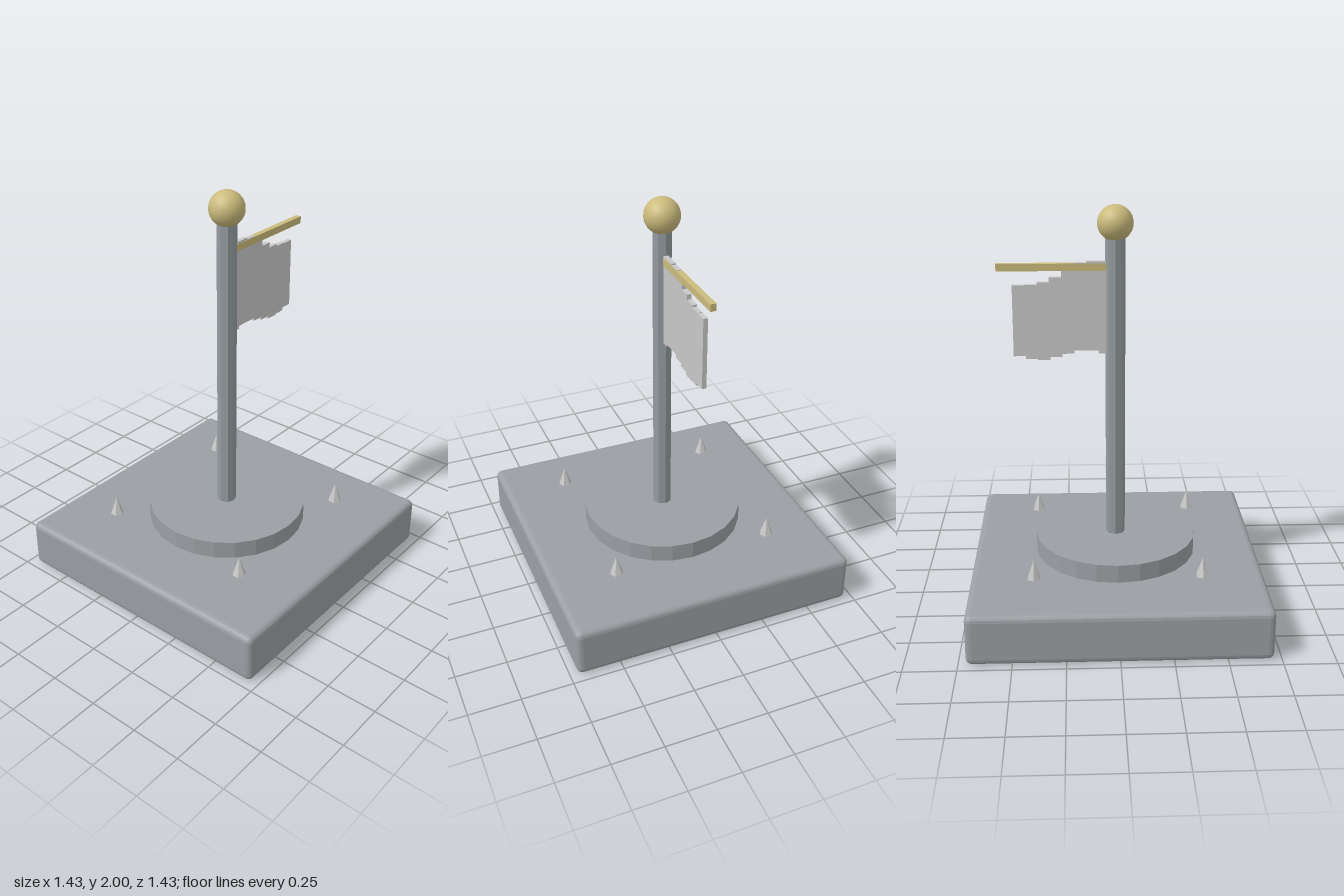
import * as THREE from 'three';
import { RoundedBoxGeometry } from 'three/addons/geometries/RoundedBoxGeometry.js';

const material = (name, color, flatShading = false) => {
  const m = new THREE.MeshStandardMaterial({ color, flatShading });
  m.name = name;
  return m;
};

export function createModel() {
  const stone = material('stone grey', 0x9b9ea3, true);
  const steel = material('pole steel', 0x939a9f, true);
  const pale = material('pale grey', 0xc8c8c8, true);
  const gold = material('dull gold', 0xcbbb7c);

  const model = new THREE.Group();
  model.name = 'flagMonument';
  const add = (name, geometry, mat, x, y, z, parent = model) => {
    const mesh = new THREE.Mesh(geometry, mat);
    mesh.name = name;
    mesh.position.set(x, y, z);
    parent.add(mesh);
    return mesh;
  };

  // Plinth and round step
  add('plinth', new RoundedBoxGeometry(1.43, 0.25, 1.43, 2, 0.03), stone, 0, 0.125, 0);
  add('roundStep', new THREE.CylinderGeometry(0.402, 0.402, 0.09, 24), stone, 0, 0.295, 0);

  // Pole with ball finial and crossbar
  add('pole', new THREE.CylinderGeometry(0.048, 0.048, 1.54, 8), steel, 0, 1.09, 0);
  add('finial', new THREE.SphereGeometry(0.086, 24, 16), gold, 0, 1.914, 0);
  add('crossbar', new THREE.BoxGeometry(0.565, 0.035, 0.028), gold, 0.2825, 1.708, 0);

  // Waving flag: one stepped outline, [top, bottom] for each vertical strip
  const strips = [
    [1.735, 1.285], [1.735, 1.3], [1.728, 1.3], [1.7, 1.285],
    [1.66, 1.27], [1.635, 1.255], [1.625, 1.26], [1.622, 1.275],
  ];
  const left = 0.022, width = 0.0587, depth = 0.022;
  const outline = [];
  strips.forEach(([, bottom], i) => {
    outline.push(new THREE.Vector2(left + i * width, bottom), new THREE.Vector2(left + (i + 1) * width, bottom));
  });
  for (let i = strips.length - 1; i >= 0; i--) {
    const top = strips[i][0];
    outline.push(new THREE.Vector2(left + (i + 1) * width, top), new THREE.Vector2(left + i * width, top));
  }
  // drop repeated corners where neighbouring strips are level
  const corners = outline.filter((p, i) => i === 0 || !p.equals(outline[i - 1]));
  const cloth = new THREE.ExtrudeGeometry(new THREE.Shape(corners), { depth, bevelEnabled: false });
  add('flag', cloth, pale, 0, 0, -depth / 2);

  // Four corner spikes
  const spikes = new THREE.Group();
  spikes.name = 'spikes';
  model.add(spikes);
  const spike = new THREE.ConeGeometry(0.034, 0.097, 6);
  for (const x of [-0.405, 0.405]) {
    for (const z of [-0.405, 0.405]) add('spike', spike, pale, x, 0.332, z, spikes);
  }

  return model;
}
